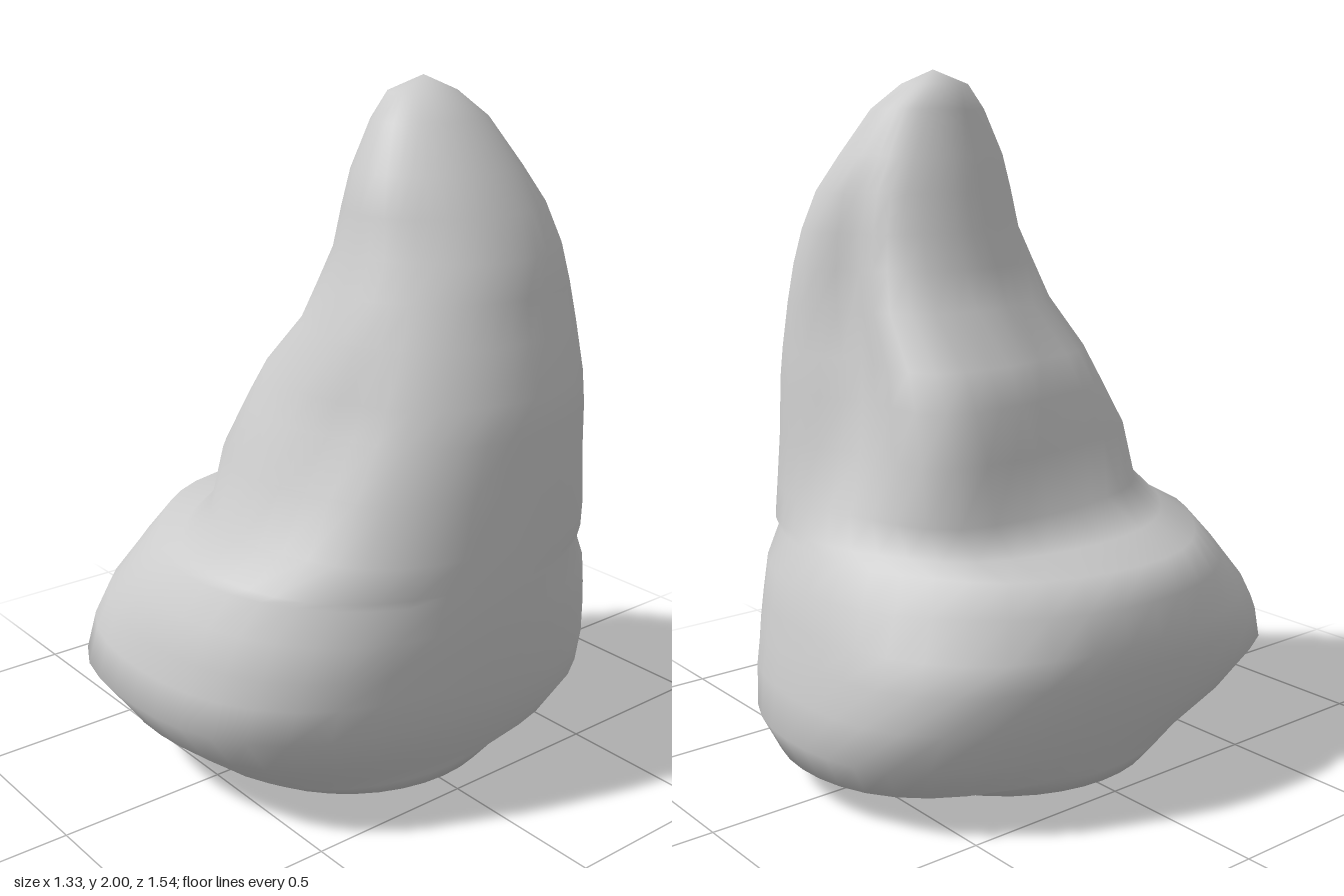
import * as THREE from 'three';

// Cross-sections of the boulder: height, xMin, xMax, zMin, zMax, squareness
const SECTIONS = [
  [0.015, -0.45, 0.44, -0.45, 0.45, 0],
  [0.06, -0.475, 0.465, -0.55, 0.52, 0.02],
  [0.10, -0.5, 0.49, -0.72, 0.57, 0.03],
  [0.20, -0.555, 0.56, -0.765, 0.685, 0.04],
  [0.32, -0.615, 0.605, -0.75, 0.765, 0.05],
  [0.42, -0.645, 0.625, -0.73, 0.74, 0.05],
  [0.50, -0.665, 0.64, -0.71, 0.72, 0.05],
  [0.60, -0.645, 0.655, -0.685, 0.685, 0.04],
  [0.69, -0.6, 0.66, -0.63, 0.62, 0.03],
  [0.715, -0.44, 0.66, -0.615, 0.6, 0.04],
  [0.80, -0.355, 0.662, -0.58, 0.51, 0.05],
  [0.96, -0.32, 0.662, -0.56, 0.445, 0.04],
  [1.10, -0.285, 0.66, -0.55, 0.375, 0.03],
  [1.20, -0.235, 0.655, -0.535, 0.34, 0.02],
  [1.34, -0.11, 0.61, -0.515, 0.28, 0.01],
  [1.45, -0.065, 0.585, -0.495, 0.24, 0],
  [1.55, -0.03, 0.56, -0.465, 0.195, 0],
  [1.66, 0, 0.505, -0.43, 0.17, 0],
  [1.76, 0.03, 0.45, -0.365, 0.14, 0],
  [1.89, 0.07, 0.35, -0.285, 0.065, 0],
  [1.96, 0.10, 0.28, -0.2, 0.0, 0],
];
const SIDES = 40;

// Hollows and, with negative depth, ridges: angle, half-width, depth, lowest and highest y
const HOLLOWS = [
  [4.4, 0.35, 0.22, 0.75, 1.85],
  [2.85, 0.3, 0.08, 0.68, 1.5],
  [3.8, 0.3, -0.16, 0.6, 1.5],
  [1.2, 0.22, 0.05, 0.7, 1.35],
  [0.85, 0.4, 0.05, 1.35, 1.95],
  // slumped rim and swollen foot of the ledge
  [2.3, 0.45, 0.09, 0.48, 0.9],
  [2.3, 0.45, -0.07, 0.06, 0.5],
  [3.95, 0.45, 0.07, 0.5, 0.8],
  [3.95, 0.45, -0.06, 0.06, 0.5],
];

function hollowScale(angle, y) {
  let scale = 1;
  for (const [a, width, depth, y0, y1] of HOLLOWS) {
    if (y <= y0 || y >= y1) continue;
    const d = Math.atan2(Math.sin(angle - a), Math.cos(angle - a)) / width;
    scale -= depth * Math.exp(-d * d) * Math.sin(Math.PI * (y - y0) / (y1 - y0));
  }
  return scale;
}

function boulderGeometry() {
  const points = [0, 0, 0];
  const index = [];
  for (const [y, x0, x1, z0, z1, square] of SECTIONS) {
    for (let i = 0; i < SIDES; i++) {
      const a = (i / SIDES) * Math.PI * 2;
      const r = hollowScale(a, y) + square * Math.sin(2 * a) ** 2;
      points.push(
        (x0 + x1) / 2 + Math.cos(a) * r * (x1 - x0) / 2,
        y,
        (z0 + z1) / 2 + Math.sin(a) * r * (z1 - z0) / 2,
      );
    }
  }
  const top = points.length / 3;
  points.push(0.17, 2, -0.12);

  const at = (row, i) => 1 + row * SIDES + (i % SIDES);
  const last = SECTIONS.length - 1;
  for (let i = 0; i < SIDES; i++) {
    index.push(0, at(0, i), at(0, i + 1));
    for (let row = 0; row < last; row++) {
      const a = at(row, i), b = at(row, i + 1);
      const c = at(row + 1, i), d = at(row + 1, i + 1);
      index.push(a, c, b, b, c, d);
    }
    index.push(at(last, i), top, at(last, i + 1));
  }
  const geometry = new THREE.BufferGeometry();
  geometry.setAttribute('position', new THREE.Float32BufferAttribute(points, 3));
  geometry.setIndex(index);
  geometry.computeVertexNormals();
  return geometry;
}

export function createModel() {
  const model = new THREE.Group();
  model.name = 'rock';
  const boulder = new THREE.Mesh(
    boulderGeometry(),
    new THREE.MeshStandardMaterial({ color: 0xcccccc }),
  );
  boulder.name = 'boulder';
  model.add(boulder);
  return model;
}
